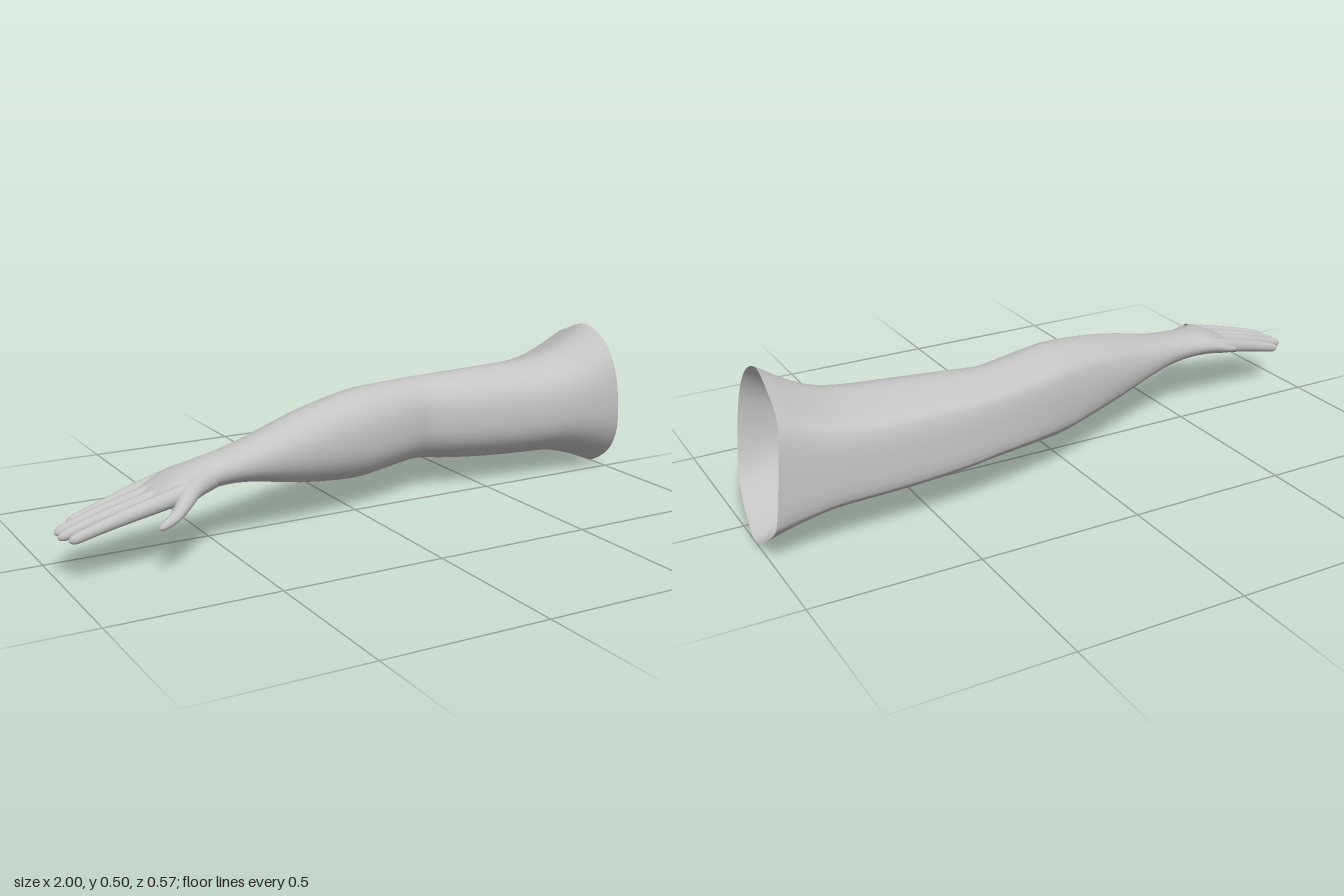
import * as THREE from 'three';

const skin = new THREE.MeshStandardMaterial({ color: 0xc4c4c4, side: THREE.DoubleSide });
skin.name = 'plain grey';

const { lerp, smoothstep } = THREE.MathUtils;

// Skins a list of closed rings; neighbouring vertices are shared for smooth normals
function loft(name, rings, capEnd) {
  const n = rings[0].length;
  const pos = rings.flat().flatMap((p) => [p.x, p.y, p.z]);
  const index = [];
  for (let i = 0; i < rings.length - 1; i++) {
    for (let j = 0; j < n; j++) {
      const a = i * n + j, b = i * n + ((j + 1) % n);
      index.push(a, b, a + n, b, b + n, a + n);
    }
  }
  if (capEnd) {
    const last = rings[rings.length - 1];
    const c = last.reduce((s, p) => s.add(p), new THREE.Vector3()).divideScalar(n);
    pos.push(c.x, c.y, c.z);
    const start = (rings.length - 1) * n;
    for (let j = 0; j < n; j++) index.push(start + j, start + ((j + 1) % n), rings.length * n);
  }
  const g = new THREE.BufferGeometry();
  g.setAttribute('position', new THREE.Float32BufferAttribute(pos, 3));
  g.setIndex(index);
  g.computeVertexNormals();
  const mesh = new THREE.Mesh(g, skin);
  mesh.name = name;
  return mesh;
}

const spline = (pts) =>
  new THREE.CatmullRomCurve3(pts.map((p) => new THREE.Vector3(...p)), false, 'catmullrom', 0.5);

// Upper-arm outline (z, y) from -1 to 1: top, back corners, bottom ridge, round front
const outline = new THREE.CatmullRomCurve3(
  [[0.12, 1], [-0.4, 0.88], [-0.84, 0.71], [-0.95, 0.5], [-1, 0], [-0.98, -0.5], [-0.85, -0.63],
    [-0.2, -0.97], [0.1, -0.99], [0.7, -0.7], [0.95, -0.34], [1, 0.16], [0.93, 0.52],
    [0.74, 0.78], [0.47, 0.93]].map(([z, y]) => new THREE.Vector3(0, y, z)),
  true);

// Arm stations: x, bottom, top, back, front
const stations = [
  [0.972, 0.002, 0.497, -0.286, 0.094],
  [0.89, 0.036, 0.449, -0.282, 0.084],
  [0.8, 0.063, 0.413, -0.278, 0.072],
  [0.7, 0.069, 0.395, -0.272, 0.06],
  [0.55, 0.075, 0.388, -0.266, 0.04],
  [0.4, 0.088, 0.382, -0.258, 0.018],
  [0.33, 0.097, 0.379, -0.25, 0.004],
  [0.28, 0.101, 0.378, -0.242, -0.002],
  [0.22, 0.1, 0.379, -0.23, 0.014],
  [0.1, 0.095, 0.382, -0.2, 0.05],
  [0, 0.095, 0.38, -0.168, 0.073],
  [-0.2, 0.126, 0.348, -0.1, 0.108],
  [-0.4, 0.172, 0.295, -0.032, 0.132],
  [-0.5, 0.181, 0.277, 0.0, 0.147],
  [-0.58, 0.18, 0.265, 0.013, 0.17],
  [-0.64, 0.174, 0.256, 0.016, 0.205],
  [-0.7, 0.164, 0.232, 0.022, 0.222],
  [-0.74, 0.162, 0.21, 0.03, 0.22],
  [-0.755, 0.174, 0.196, 0.042, 0.208],
];

function buildArm() {
  const heights = spline(stations.map(([x, b, t]) => [x, b, t]));
  const depths = spline(stations.map(([x, , , b, f]) => [x, b, f]));
  const rings = [];
  const steps = (stations.length - 1) * 3, sides = 48;
  for (let i = 0; i <= steps; i++) {
    const h = heights.getPoint(i / steps), d = depths.getPoint(i / steps);
    const round = 1 - smoothstep(h.x, -0.55, 0.3); // limb becomes oval toward the wrist
    const slant = smoothstep(h.x, 0.7, 0.972);     // the open end is cut at an angle
    const ring = [];
    for (let j = 0; j < sides; j++) {
      const p = outline.getPoint(j / sides);
      const a = Math.atan2(-p.z, p.y);
      const v = lerp(p.y, Math.cos(a), round), u = lerp(p.z, -Math.sin(a), round);
      ring.push(new THREE.Vector3(
        h.x - slant * (0.027 * v + 0.006 * u),
        (h.y + h.z) / 2 + v * (h.z - h.y) / 2,
        (d.y + d.z) / 2 + u * (d.z - d.y) / 2));
    }
    rings.push(ring);
  }
  return loft('armAndPalm', rings, true);
}

// A finger follows a path, tapers from r0 to r1 and ends in a rounded tip
function buildFinger(name, path, r0, r1, flat) {
  const curve = spline(path), up = new THREE.Vector3(0, 1, 0);
  const rings = [], steps = 24, sides = 16;
  for (let i = 0; i <= steps; i++) {
    const s = 1 - (1 - i / steps) ** 1.6;
    const c = curve.getPointAt(s), t = curve.getTangentAt(s);
    const e1 = up.clone().addScaledVector(t, -up.dot(t)).normalize();
    const e2 = t.clone().cross(e1);
    const tip = Math.sqrt(Math.max(0.0004, 1 - Math.max(0, (s - 0.93) / 0.07) ** 2));
    const r = lerp(r0, r1, s) * tip;
    const ring = [];
    for (let j = 0; j < sides; j++) {
      const a = (j / sides) * Math.PI * 2;
      ring.push(c.clone().addScaledVector(e1, Math.cos(a) * r * flat).addScaledVector(e2, Math.sin(a) * r));
    }
    rings.push(ring);
  }
  return loft(name, rings, true);
}

export function createModel() {
  const group = new THREE.Group();
  group.name = 'arm';
  group.add(buildArm());

  // Fingers: name, root z, tip x, tip z, tip y
  const fingers = [
    ['indexFinger', 0.198, -0.985, 0.211, 0.134],
    ['middleFinger', 0.148, -1, 0.161, 0.13],
    ['ringFinger', 0.098, -0.997, 0.119, 0.13],
    ['littleFinger', 0.048, -0.95, 0.074, 0.136],
  ];
  for (const [name, z, tx, tz, ty] of fingers) {
    group.add(buildFinger(name, [
      [-0.65, 0.212, z],
      [-0.74, 0.193, lerp(z, tz, 0.25)],
      [lerp(-0.74, tx, 0.5), 0.166, lerp(z, tz, 0.65)],
      [tx, ty, tz],
    ], 0.025, 0.013, 1.1));
  }

  group.add(buildFinger('thumb', [
    [-0.54, 0.22, 0.105],
    [-0.62, 0.212, 0.18],
    [-0.665, 0.194, 0.232],
    [-0.705, 0.169, 0.26],
    [-0.755, 0.146, 0.27],
  ], 0.044, 0.011, 0.9));
  return group;
}
